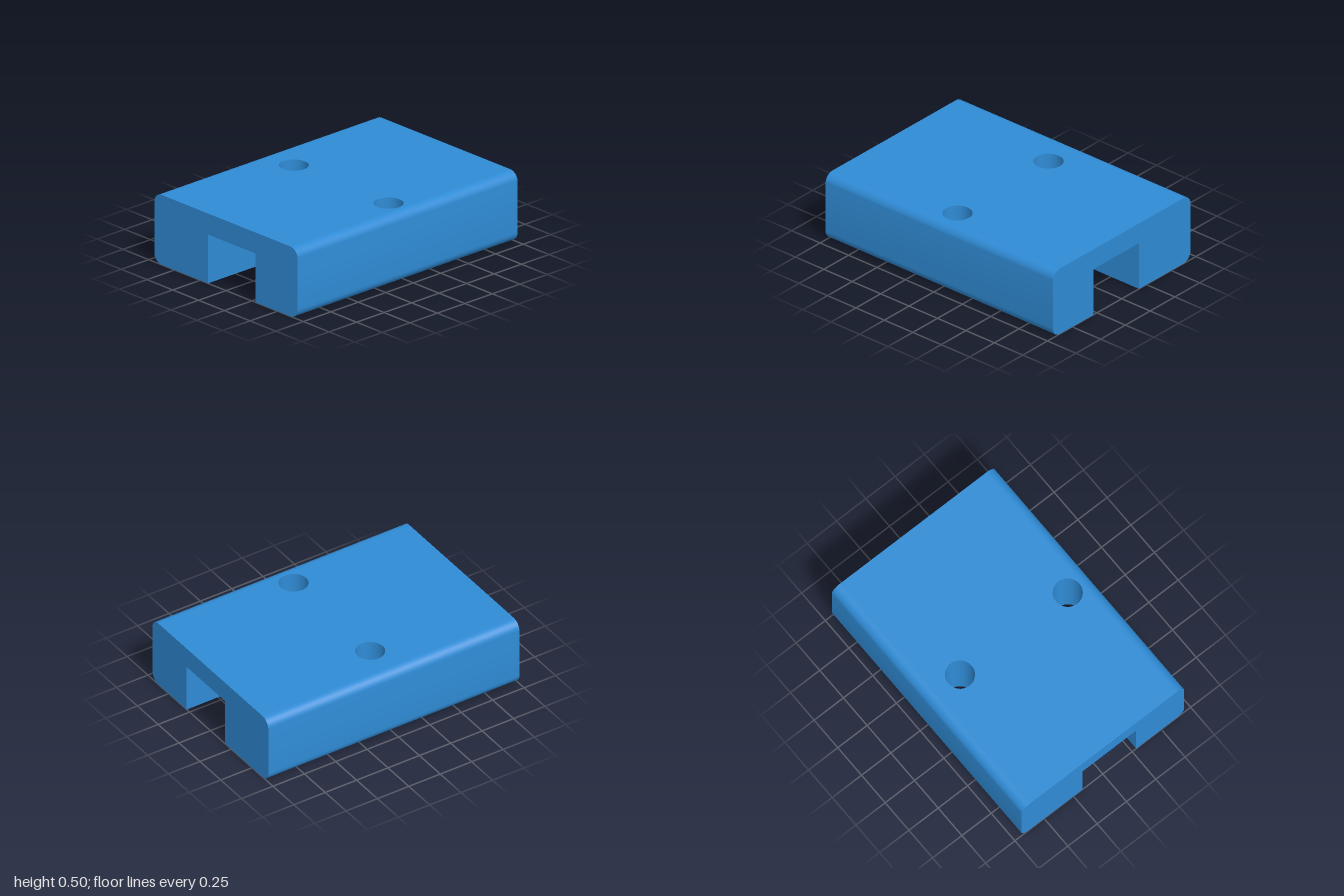
import * as THREE from 'three';
import { toCreasedNormals } from 'three/addons/utils/BufferGeometryUtils.js';

const HX = 1, HZ = 0.695, H = 0.5, R = 0.07;          // half length, half width, height, corner radius
const SLOT_BACK = -0.175, SLOT_FRONT = 0.285, SLOT_TOP = 0.35;
const HOLE_R = 0.1, HOLE_Z = [-0.41, 0.51], HOLE_X = [-0.56, 0, 0.56], BLIND = 0.35;
const SEG = 48;

// Quarter-round corner as [z, y] points
function corner(cz, cy, start) {
  const n = 12;
  return Array.from({ length: n + 1 }, (_, i) => {
    const a = start + (i / n) * Math.PI / 2;
    return [cz + R * Math.cos(a), cy + R * Math.sin(a)];
  });
}

// Surface swept along x from a [z, y] path
function sweep(path) {
  const v = [];
  for (let i = 0; i < path.length - 1; i++) {
    const [z0, y0] = path[i], [z1, y1] = path[i + 1];
    v.push(-HX, y0, z0, HX, y0, z0, HX, y1, z1, -HX, y0, z0, HX, y1, z1, -HX, y1, z1);
  }
  const g = new THREE.BufferGeometry();
  g.setAttribute('position', new THREE.Float32BufferAttribute(v, 3));
  g.computeVertexNormals();
  return toCreasedNormals(g, 0.5);
}

// Flat plate outline from z0 to z1 with round holes
function drilledFace(z0, z1, holes) {
  const s = new THREE.Shape([[-HX, z0], [HX, z0], [HX, z1], [-HX, z1]].map(p => new THREE.Vector2(...p)));
  for (const [x, z] of holes) {
    const h = new THREE.Path();
    h.absarc(x, z, HOLE_R, 0, Math.PI * 2, true);
    s.holes.push(h);
  }
  return new THREE.ShapeGeometry(s, SEG / 2);
}

export function createModel() {
  const group = new THREE.Group();
  group.name = 'slottedBlock';
  const blue = new THREE.MeshStandardMaterial({ color: 0x2f8bd5 });
  blue.name = 'blue';
  const add = (name, geometry, x = 0, y = 0, z = 0) => {
    const m = new THREE.Mesh(geometry, blue);
    m.name = name;
    m.position.set(x, y, z);
    group.add(m);
  };

  // Rounded long sides and the slot
  const front = [...corner(HZ - R, R, -Math.PI / 2), ...corner(HZ - R, H - R, 0)];
  const back = [...corner(R - HZ, H - R, Math.PI / 2), ...corner(R - HZ, R, Math.PI)];
  const slot = [[SLOT_BACK, 0], [SLOT_BACK, SLOT_TOP], [SLOT_FRONT, SLOT_TOP], [SLOT_FRONT, 0]];
  add('frontSide', sweep(front));
  add('backSide', sweep(back));
  add('slot', sweep(slot));

  // End faces
  const outline = [...front, ...back, ...slot];
  for (const s of [-1, 1]) {
    const shape = new THREE.Shape(outline.map(([z, y]) => new THREE.Vector2(-s * z, y)));
    add(s > 0 ? 'leftEnd' : 'rightEnd', new THREE.ShapeGeometry(shape).rotateY(s * Math.PI / 2), s * HX);
  }

  // Top face with two through holes, and the feet with three holes each
  const flat = HZ - R;
  add('topFace', drilledFace(-flat, flat, HOLE_Z.map(z => [0, -z])).rotateX(-Math.PI / 2), 0, H);
  const feet = [['backFoot', -flat, SLOT_BACK], ['frontFoot', SLOT_FRONT, flat]];
  feet.forEach(([name, z0, z1], i) => {
    add(name, drilledFace(z0, z1, HOLE_X.map(x => [x, HOLE_Z[i]])).rotateX(Math.PI / 2));
  });

  // Hole walls face inward; the outer holes are blind
  for (const z of HOLE_Z) for (const x of HOLE_X) {
    const depth = x === 0 ? H : BLIND;
    const wall = [new THREE.Vector2(HOLE_R, depth), new THREE.Vector2(HOLE_R, 0)];
    add('holeWall', new THREE.LatheGeometry(wall, SEG), x, 0, z);
    if (x !== 0) add('holeEnd', new THREE.CircleGeometry(HOLE_R, SEG).rotateX(Math.PI / 2), x, depth, z);
  }
  return group;
}
